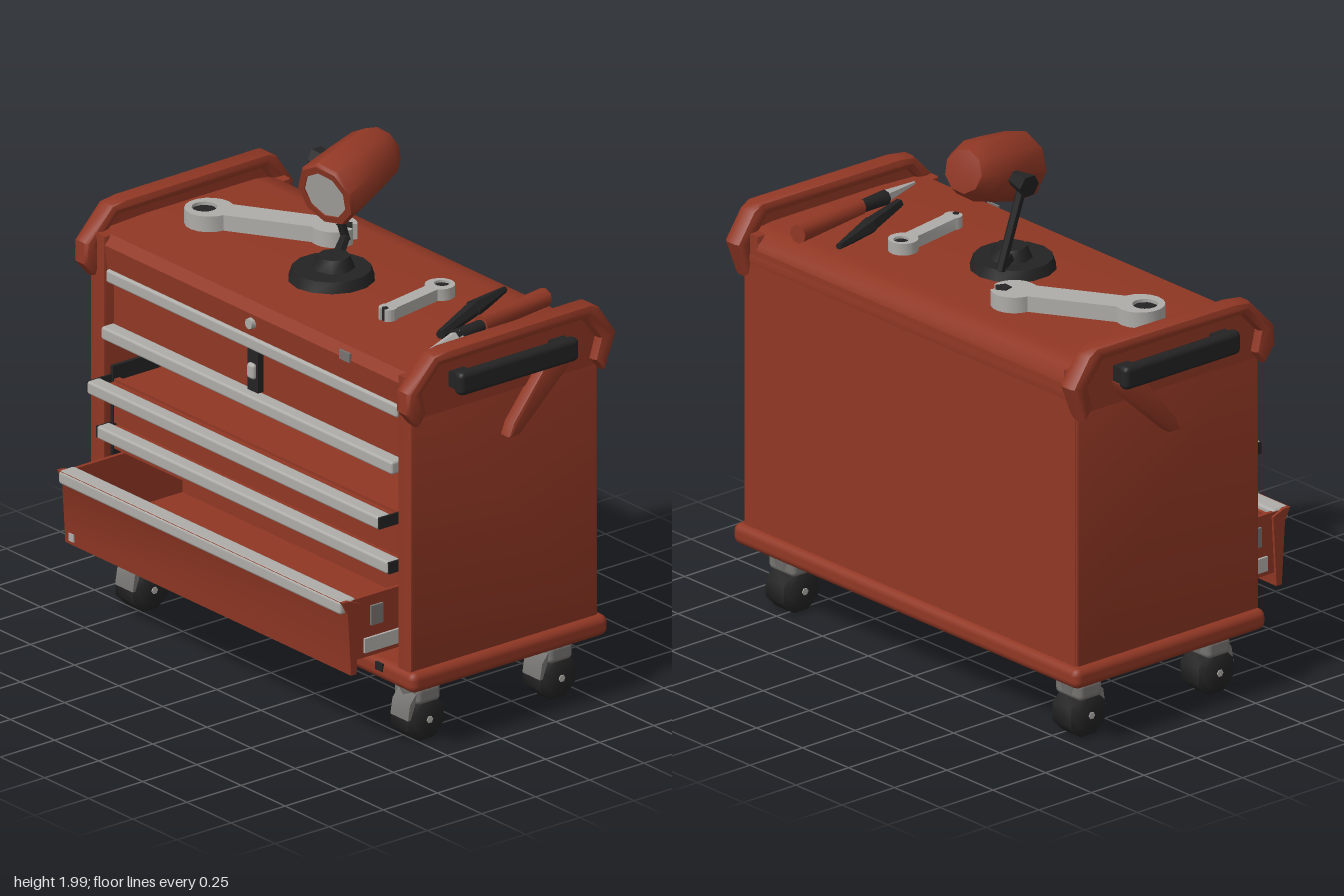
import * as THREE from 'three';
import { toCreasedNormals } from 'three/addons/utils/BufferGeometryUtils.js';
import { RoundedBoxGeometry } from 'three/addons/geometries/RoundedBoxGeometry.js';

const material = (name, color) => Object.assign(new THREE.MeshStandardMaterial({ color }), { name });

export function createModel() {
  const red = material('red paint', 0x903724);
  const grey = material('bare metal', 0xaeaca8);
  const black = material('black rubber', 0x232323);
  const darkGrey = material('dark metal', 0x757370);
  const model = new THREE.Group();
  model.name = 'toolCart';

  const add = (name, geo, mat, parent = model) => {
    const mesh = new THREE.Mesh(geo, mat);
    mesh.name = name;
    parent.add(mesh);
    return mesh;
  };
  // Box given by its limits on each axis
  const box = (name, mat, [x0, x1], [y0, y1], [z0, z1], parent, r = 0) => {
    const s = [x1 - x0, y1 - y0, z1 - z0];
    const geo = r ? new RoundedBoxGeometry(...s, 2, r) : new THREE.BoxGeometry(...s);
    geo.translate((x0 + x1) / 2, (y0 + y1) / 2, (z0 + z1) / 2);
    return add(name, geo, mat, parent);
  };
  // Side profile of [z, y] points, extruded from x0 to x1
  const profile = (name, mat, pts, x0, x1, bevel = 0, parent) => {
    const shape = new THREE.Shape(pts.map(([z, y]) => new THREE.Vector2(-z, y)));
    const geo = new THREE.ExtrudeGeometry(shape, {
      depth: x1 - x0 - 2 * bevel, bevelEnabled: bevel > 0, bevelSize: bevel,
      bevelThickness: bevel, bevelOffset: -bevel, bevelSegments: 2,
    });
    geo.rotateY(Math.PI / 2).translate(x0 + bevel, 0, 0);
    return add(name, toCreasedNormals(geo, 0.7), mat, parent);
  };
  // Tapered rod between two points
  const rod = (name, mat, a, b, r0, r1, sides = 8, parent) => {
    const A = new THREE.Vector3(...a), B = new THREE.Vector3(...b), d = B.clone().sub(A);
    const geo = toCreasedNormals(new THREE.CylinderGeometry(r1, r0, d.length(), sides), 0.9);
    const mesh = add(name, geo, mat, parent);
    mesh.position.copy(A).add(B).multiplyScalar(0.5);
    mesh.quaternion.setFromUnitVectors(new THREE.Vector3(0, 1, 0), d.normalize());
    return mesh;
  };

  // Cabinet shell
  box('baseBumper', red, [-0.94, 0.94], [0.245, 0.325], [-0.55, 0.36], model, 0.03);
  box('backPanel', red, [-0.9, 0.9], [0.3, 1.4], [-0.522, -0.46]);
  box('innerBack', red, [-0.84, 0.84], [0.3, 1.4], [0.0, 0.02]);
  profile('top', red, [[0.33, 1.33], [0.34, 1.42], [0.31, 1.455], [0.1, 1.465], [-0.4, 1.465],
    [-0.48, 1.455], [-0.515, 1.42], [-0.525, 1.36], [-0.52, 1.33]], -0.9, 0.9);

  // End panels with their flared rims, handles and props
  for (const s of [-1, 1]) {
    const side = new THREE.Group();
    side.name = s > 0 ? 'leftEnd' : 'rightEnd';
    model.add(side);
    const span = (a, b) => (s > 0 ? [a, b] : [-b, -a]);
    profile('endPanel', red, [[0.345, 0.3], [0.345, 1.455], [-0.52, 1.455], [-0.52, 0.3]],
      ...span(0.83, 0.91), 0.012, side);
    profile('endCap', red, [[0.34, 1.3], [0.34, 1.45], [0.27, 1.52], [-0.45, 1.53],
      [-0.52, 1.45], [-0.52, 1.3]], ...span(0.89, 0.915), 0, side);
    profile('endRim', red, [[0.34, 1.28], [0.39, 1.34], [0.385, 1.42], [0.27, 1.54], [0.2, 1.55],
      [-0.46, 1.555], [-0.5, 1.53], [-0.575, 1.42], [-0.52, 1.28], [-0.475, 1.33], [-0.5, 1.41],
      [-0.43, 1.5], [0.24, 1.495], [0.32, 1.41], [0.3, 1.33]], ...span(0.87, 0.955), 0.022, side);
    box('handleBar', black, span(0.95, 1.0), [1.375, 1.465], [-0.365, 0.185], side, 0.02);
    for (const z of [-0.32, 0.14])
      box('handleMount', black, span(0.89, 0.97), [1.39, 1.45], [z - 0.035, z + 0.035], side);
    profile('sideProp', red, [[-0.36, 1.39], [-0.34, 1.34], [-0.12, 1.14], [-0.07, 1.14],
      [-0.09, 1.19], [-0.25, 1.39]], ...span(0.9, 0.96), 0.01, side);
    box('drawerRail', black, span(0.815, 0.832), [0.33, 0.95], [0.1, 0.315], side);
    box('baseLatch', black, span(0.73, 0.77), [0.285, 0.315], [0.355, 0.364], side);
  }

  // Closed drawers: front panel, floor and metal pull [pull height, pull front, panel bottom, panel top]
  const drawers = [[1.305, 0.343, 1.11, 1.34], [1.09, 0.365, 1.06, 1.11],
    [0.895, 0.43, 0.73, 0.9], [0.71, 0.385, 0.63, 0.72]];
  for (const [y, z, y0, y1] of drawers) {
    const drawer = new THREE.Group();
    drawer.name = 'drawer';
    model.add(drawer);
    box('drawerFront', red, [-0.815, 0.815], [y0, y1], [0.285, 0.31], drawer);
    box('drawerFloor', red, [-0.815, 0.815], [y - 0.02, y - 0.005], [0.02, z - 0.05], drawer);
    box('drawerPull', grey, [-0.825, 0.825], [y - 0.025, y + 0.025], [z - 0.06, z], drawer, 0.01);
    if (z > 0.37) for (const x of [-0.826, 0.826])
      box('pullEnd', black, [x - 0.004, x + 0.004], [y - 0.022, y + 0.022], [0.3, z - 0.004], drawer);
  }

  // Open bottom drawer
  const open = new THREE.Group();
  open.name = 'openDrawer';
  model.add(open);
  profile('openDrawerFront', red, [[0.5, 0.6], [0.515, 0.33], [0.54, 0.33], [0.555, 0.57],
    [0.58, 0.62], [0.55, 0.62]], -0.81, 0.81, 0, open);
  box('openDrawerPull', grey, [-0.8, 0.8], [0.57, 0.622], [0.508, 0.583], open, 0.012);
  box('openDrawerFloor', red, [-0.8, 0.8], [0.38, 0.395], [0.02, 0.52], open);
  box('frontTag', grey, [-0.785, -0.755], [0.345, 0.375], [0.537, 0.546], open);
  for (const s of [-1, 1]) {
    const span = (a, b) => (s > 0 ? [a, b] : [-b, -a]);
    box('openDrawerSide', red, span(0.785, 0.8), [0.38, 0.615], [0.02, 0.53], open);
    box('slide', grey, span(0.8, 0.81), [0.4, 0.455], [0.2, 0.475], open);
    box('slideBracket', darkGrey, span(0.8, 0.81), [0.5, 0.575], [0.39, 0.445], open);
  }

  // Lock and latch
  box('latchPlate', black, [-0.03, 0.03], [1.12, 1.28], [0.31, 0.335]);
  box('latchKnob', grey, [-0.02, 0.02], [1.17, 1.23], [0.32, 0.35], model, 0.012);
  rod('lockCylinder', grey, [0, 1.385, 0.32], [0, 1.385, 0.355], 0.024, 0.02);
  box('smallPlate', darkGrey, [0.5, 0.56], [1.41, 1.445], [0.335, 0.344]);

  // Swivel casters
  for (const x of [-0.78, 0.78]) for (const z of [-0.4, 0.21]) {
    const caster = new THREE.Group();
    caster.name = 'caster';
    caster.position.set(x, 0, z);
    model.add(caster);
    rod('wheel', black, [-0.05, 0.088, 0], [0.05, 0.088, 0], 0.088, 0.088, 8, caster)
      .rotateY(Math.PI / 8);
    for (const s of [-1, 1]) {
      rod('tyreShoulder', black, [s * 0.05, 0.088, 0], [s * 0.07, 0.088, 0], 0.088, 0.068, 8, caster)
        .rotateY(Math.PI / 8);
      rod('hub', grey, [s * 0.06, 0.088, 0], [s * 0.074, 0.088, 0], 0.014, 0.014, 6, caster);
    }
    rod('swivel', darkGrey, [0, 0.17, 0], [0, 0.26, 0], 0.065, 0.08, 8, caster);
    box('forkBridge', darkGrey, [-0.072, 0.072], [0.15, 0.22], [-0.055, 0.055], caster, 0.02);
    profile('forkGuard', darkGrey, [[0.05, 0.2], [0.082, 0.16], [0.092, 0.1], [0.08, 0.1],
      [0.06, 0.15]], -0.04, 0.06, 0, caster);
  }

  // Desk lamp
  const lamp = new THREE.Group();
  lamp.name = 'lamp';
  model.add(lamp);
  rod('lampBase', black, [0, 1.46, -0.03], [0, 1.505, -0.03], 0.16, 0.145, 14, lamp);
  rod('lampBaseKnob', black, [0, 1.5, -0.04], [0, 1.55, -0.04], 0.08, 0.06, 8, lamp);
  rod('lampFoot', black, [-0.03, 1.52, -0.08], [-0.12, 1.54, -0.19], 0.025, 0.02, 6, lamp);
  rod('lampArm', black, [-0.12, 1.53, -0.195], [-0.14, 1.85, -0.105], 0.018, 0.018, 6, lamp);
  rod('lampPivot', black, [-0.18, 1.85, -0.11], [-0.08, 1.86, -0.11], 0.045, 0.025, 6, lamp);
  const shade = new THREE.Group();
  shade.name = 'lampHead';
  shade.position.set(0.022, 1.86, -0.11);
  shade.quaternion.setFromUnitVectors(new THREE.Vector3(0, 1, 0),
    new THREE.Vector3(0.07, -0.085, 0.33).normalize());
  lamp.add(shade);
  const shadeLine = [[0, -0.19], [0.082, -0.178], [0.112, -0.12], [0.122, 0], [0.13, 0.15],
    [0.122, 0.165], [0.094, 0.165], [0.088, 0.13]].map(p => new THREE.Vector2(...p));
  add('lampShade', toCreasedNormals(new THREE.LatheGeometry(shadeLine, 9), 0.8), red, shade);
  rod('lampLens', grey, [0, 0.12, 0], [0, 0.161, 0], 0.094, 0.094, 9, shade);

  // Flat wrench: open end, tapered shank and ring end, lying on the top from a to b
  const wrench = (name, a, b, ringR, endR, width, thick) => {
    const g = new THREE.Group();
    g.name = name;
    g.position.set(a[0], 1.465, a[1]);
    g.rotation.y = -Math.atan2(b[1] - a[1], b[0] - a[0]);
    model.add(g);
    const L = Math.hypot(b[0] - a[0], b[1] - a[1]);
    const shape = new THREE.Shape();
    const arc = Math.asin(width / ringR), arc2 = Math.asin(width / endR);
    shape.absarc(0, 0, ringR, arc, 2 * Math.PI - arc);
    shape.absarc(L, 0, endR, Math.PI + arc2, 2 * Math.PI - 0.3);
    shape.lineTo(L + endR * 0.4, 0);
    shape.absarc(L, 0, endR, 0.3, Math.PI - arc2);
    const hole = new THREE.Path();
    hole.absarc(-ringR * 0.2, 0, ringR * 0.52, 0, 2 * Math.PI, true);
    shape.holes.push(hole);
    const geo = new THREE.ExtrudeGeometry(shape, { depth: thick, bevelEnabled: false, curveSegments: 7 });
    add('wrenchBody', toCreasedNormals(geo.rotateX(-Math.PI / 2), 0.6), grey, g);
    rod('ringSocket', black, [-ringR * 0.2, 0, 0], [-ringR * 0.2, thick * 0.8, 0],
      ringR * 0.54, ringR * 0.54, 7, g);
    rod('jawSocket', black, [L + endR * 0.5, 0, 0], [L + endR * 0.5, thick + 0.003, 0],
      endR * 0.38, endR * 0.38, 5, g);
  };
  wrench('largeWrench', [-0.675, -0.015], [-0.275, -0.265], 0.09, 0.085, 0.054, 0.06);
  wrench('smallWrench', [0.375, -0.225], [0.425, 0.055], 0.055, 0.034, 0.028, 0.045);

  // Pliers and screwdriver
  rod('plierHandle', black, [0.515, 1.485, -0.41], [0.59, 1.485, -0.2], 0.012, 0.034, 6);
  rod('plierJaw', black, [0.59, 1.485, -0.2], [0.69, 1.48, 0.03], 0.03, 0.018, 6);
  rod('screwdriverGrip', red, [0.68, 1.495, -0.46], [0.735, 1.495, -0.12], 0.036, 0.034, 8);
  rod('screwdriverCollar', black, [0.735, 1.49, -0.13], [0.755, 1.485, 0.02], 0.024, 0.03, 8);
  rod('screwdriverTip', grey, [0.755, 1.485, 0.0], [0.8, 1.48, 0.2], 0.028, 0.006, 6);

  return model;
}
